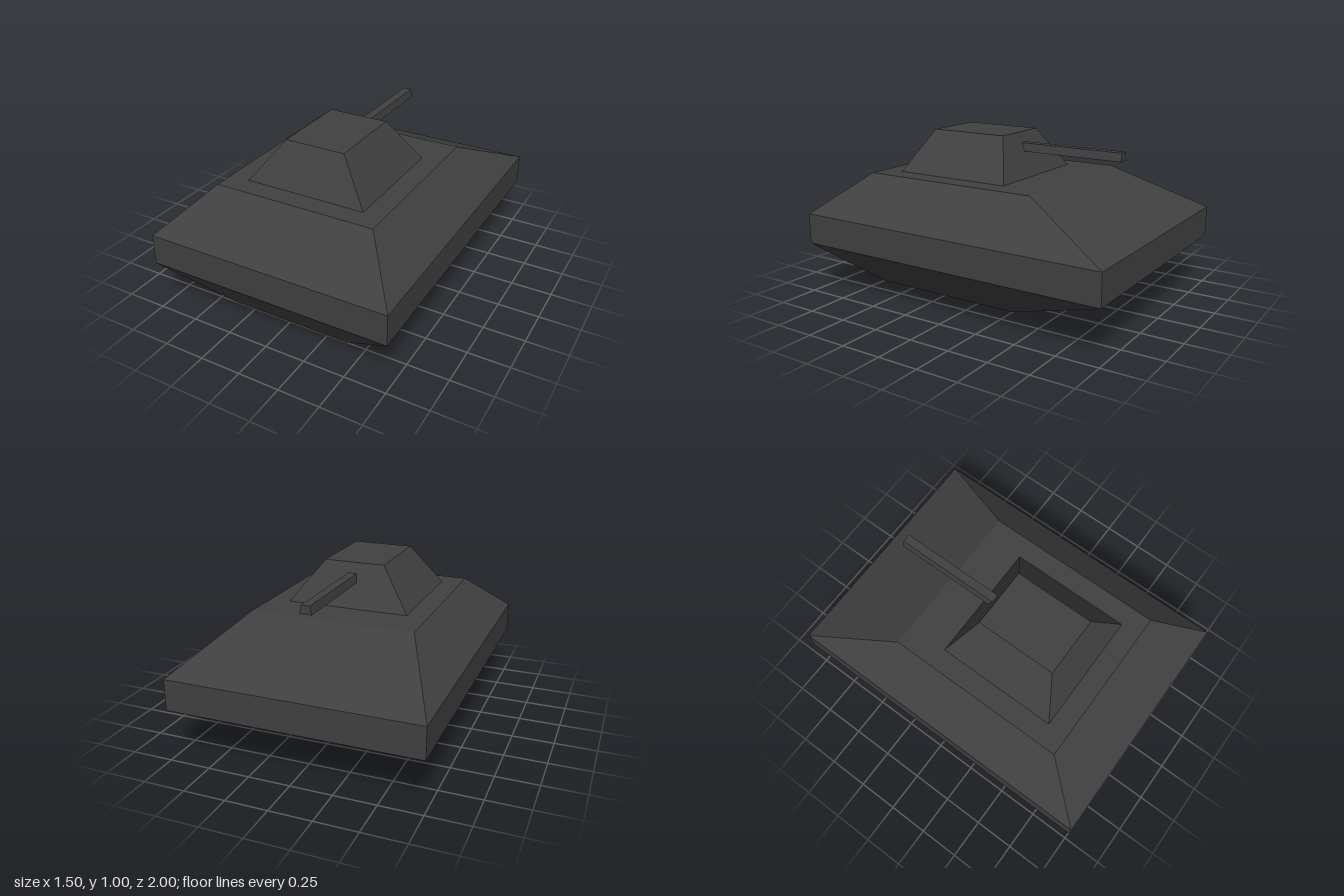
import * as THREE from 'three';

const armour = new THREE.MeshStandardMaterial({ color: 0x404040 });
armour.name = 'darkGreyArmour';

// Stacks rectangular sections [y, halfWidth, zMin, zMax], bottom to top, into a closed flat-faced solid.
function stackedSolid(name, sections) {
  const rings = sections.map(([y, w, z0, z1]) => [[-w, y, z1], [w, y, z1], [w, y, z0], [-w, y, z0]]);
  const positions = [];
  const quad = (a, b, c, d) => positions.push(...a, ...b, ...c, ...a, ...c, ...d);

  for (let i = 0; i < rings.length - 1; i++) {
    const low = rings[i], high = rings[i + 1];
    for (let k = 0; k < 4; k++) {
      const n = (k + 1) % 4;
      quad(low[k], low[n], high[n], high[k]);
    }
  }
  quad(...rings[rings.length - 1]);
  quad(...rings[0].slice().reverse());

  const geometry = new THREE.BufferGeometry();
  geometry.setAttribute('position', new THREE.Float32BufferAttribute(positions, 3));
  geometry.computeVertexNormals();
  const mesh = new THREE.Mesh(geometry, armour);
  mesh.name = name;
  return mesh;
}

export function createModel() {
  const model = new THREE.Group();
  model.name = 'tank';

  // Hull: tapered belly, upright band, sloped deck
  model.add(stackedSolid('hull', [
    [0, 0.375, -0.25, 0.75],
    [0.3125, 0.75, -1, 1],
    [0.5, 0.75, -1, 1],
    [0.75, 0.5, -0.4375, 0.6875],
  ]));

  // Turret
  model.add(stackedSolid('turret', [
    [0.75, 0.375, -0.1875, 0.5625],
    [1, 0.1875, -0.0625, 0.4375],
  ]));

  // Gun barrel, slightly narrower on top
  model.add(stackedSolid('gunBarrel', [
    [0.89, 0.036, -0.75, -0.08],
    [0.94, 0.026, -0.75, -0.08],
  ]));

  return model;
}
